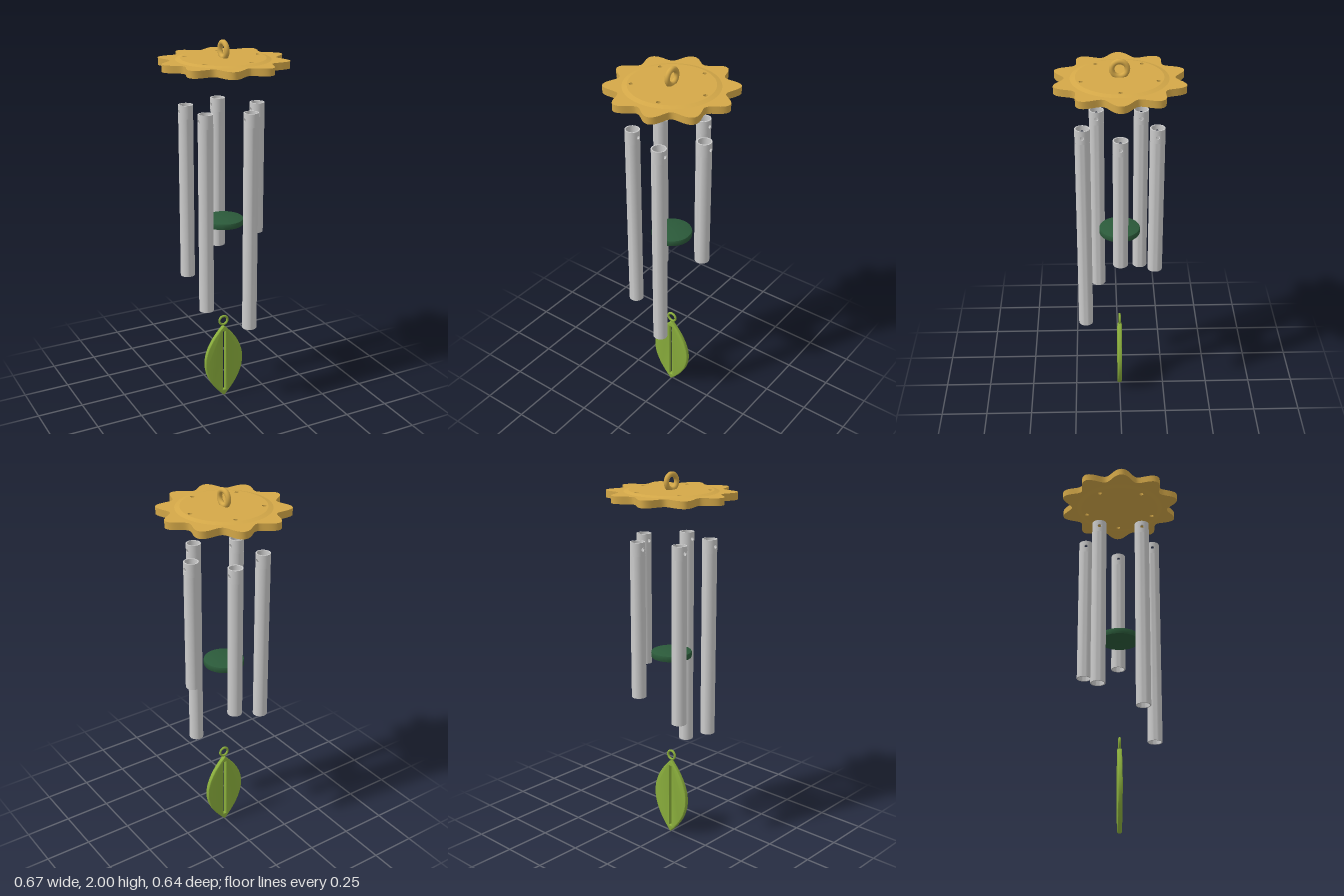
import * as THREE from 'three';
import { toCreasedNormals } from 'three/addons/utils/BufferGeometryUtils.js';
import { ParametricGeometry } from 'three/addons/geometries/ParametricGeometry.js';

const paint = (color, side = THREE.FrontSide) => new THREE.MeshStandardMaterial({ color, side });
const GOLD = paint(0xd4a848);
const METAL = paint(0xcccccc, THREE.DoubleSide);
const DARK_GREEN = paint(0x2b5a3a);
const LEAF_GREEN = paint(0x8aae3c);

const R_OUT = 0.0385, R_IN = 0.032, TUBE_TOP = 1.665, BAND = 0.035, HOLE = 0.01;
const TUBE_RING = 0.195;

function add(parent, name, geometry, material, x = 0, y = 0, z = 0) {
  const mesh = new THREE.Mesh(geometry, material);
  mesh.name = name;
  mesh.position.set(x, y, z);
  parent.add(mesh);
  return mesh;
}

const crease = (geometry, angle = 0.6) => toCreasedNormals(geometry, angle);
const lathe = (points, segments) =>
  crease(new THREE.LatheGeometry(points.map(([r, y]) => new THREE.Vector2(r, y)), segments));

function circlePath(x, y, r) {
  return new THREE.Path().absarc(x, y, r, 0, Math.PI * 2, true);
}

// horizontal slab standing on y = 0
function slab(shape, depth) {
  const g = new THREE.ExtrudeGeometry(shape, { depth, bevelEnabled: false, curveSegments: 48 });
  return crease(g.rotateX(-Math.PI / 2));
}

// half of a cylinder wall with a round hole in its middle
function drilledHalf(radius, turn) {
  return new ParametricGeometry((u, v, p) => {
    const a = turn * u * Math.PI * 2, c = Math.cos(a), s = Math.sin(a);
    const m = Math.max(Math.abs(c), Math.abs(s));
    const phi = THREE.MathUtils.lerp(c * HOLE / R_OUT, c / m * Math.PI / 2, v);
    const y = THREE.MathUtils.lerp(s * HOLE, s / m * BAND, v);
    p.set(radius * Math.cos(phi), y, -radius * Math.sin(phi));
  }, 48, 8);
}

// wall of the drilled hole, from outer to inner skin
function holeWall() {
  return new ParametricGeometry((u, v, p) => {
    const a = u * Math.PI * 2, phi = Math.cos(a) * HOLE / R_OUT;
    const r = THREE.MathUtils.lerp(R_OUT, R_IN, v);
    p.set(r * Math.cos(phi), Math.sin(a) * HOLE, -r * Math.sin(phi));
  }, 24, 1);
}

function chimeTube(bottom) {
  const tube = new THREE.Group();
  tube.name = 'chimeTube';
  const low = TUBE_TOP - 2 * BAND;
  add(tube, 'tubeWall', lathe([[R_IN, low], [R_IN, bottom], [R_OUT, bottom], [R_OUT, low]], 32), METAL);
  for (const turn of [0, Math.PI]) {
    const parts = [drilledHalf(R_OUT, -1), drilledHalf(R_IN, 1), holeWall()];
    for (const g of parts) add(tube, 'drilledBand', g, METAL, 0, TUBE_TOP - BAND).rotation.y = turn;
  }
  add(tube, 'tubeRim', new THREE.RingGeometry(R_IN, R_OUT, 32).rotateX(-Math.PI / 2), METAL, 0, TUBE_TOP);
  return tube;
}

function topPlate() {
  const plate = new THREE.Group();
  plate.name = 'topPlate';

  // ten-petal rim
  const outline = [];
  for (let i = 0; i < 200; i++) {
    const a = i / 200 * Math.PI * 2, r = 0.301 + 0.032 * Math.cos(10 * a);
    outline.push(new THREE.Vector2(r * Math.cos(a), r * Math.sin(a)));
  }
  const flower = new THREE.Shape(outline);
  flower.holes.push(circlePath(0, 0, 0.21));
  add(plate, 'petalRim', slab(flower, 0.037), GOLD, 0, 1.867, 0);

  // slightly thicker middle with string holes
  const middle = new THREE.Shape().absarc(0, 0, 0.215, 0, Math.PI * 2, false);
  for (let i = 0; i < 5; i++) {
    const a = i * Math.PI * 0.4;
    middle.holes.push(circlePath(TUBE_RING * Math.cos(a), TUBE_RING * Math.sin(a), 0.011));
  }
  add(plate, 'plateMiddle', slab(middle, 0.05), GOLD, 0, 1.861, 0);
  add(plate, 'upperSlope', lathe([[0.24, 1.904], [0.215, 1.911]], 96), GOLD);
  add(plate, 'lowerSlope', lathe([[0.215, 1.861], [0.24, 1.867]], 96), GOLD);

  // hanging ring
  const ring = new THREE.TorusGeometry(0.0375, 0.0135, 16, 48).rotateY(Math.PI / 2);
  add(plate, 'hangingRing', ring, GOLD, 0, 1.949, 0);
  return plate;
}

function leafSail() {
  const sail = new THREE.Group();
  sail.name = 'leafSail';
  const shape = new THREE.Shape();
  shape.moveTo(0, 0.002);
  shape.quadraticCurveTo(0.228, 0.22, 0, 0.436);
  shape.quadraticCurveTo(-0.228, 0.22, 0, 0.002);

  // slit along the midrib
  const slit = new THREE.Path();
  slit.moveTo(-0.008, 0.04);
  slit.lineTo(-0.008, 0.4);
  slit.lineTo(0.008, 0.4);
  slit.lineTo(0.008, 0.04);
  slit.closePath();
  shape.holes.push(slit);

  const leaf = new THREE.ExtrudeGeometry(shape, {
    depth: 0.014, bevelThickness: 0.005, bevelSize: 0.005, bevelOffset: -0.005,
    bevelSegments: 3, curveSegments: 32,
  });
  add(sail, 'leaf', crease(leaf), LEAF_GREEN, 0, 0, -0.007);
  add(sail, 'leafRing', new THREE.TorusGeometry(0.0245, 0.0065, 12, 32), LEAF_GREEN, 0, 0.465, 0);
  return sail;
}

export function createModel() {
  const model = new THREE.Group();
  model.name = 'windChime';
  model.add(topPlate());

  // five tubes, each longer than the last
  const bottoms = [0.957, 0.842, 0.726, 0.61, 0.493];
  bottoms.forEach((bottom, i) => {
    const a = i * Math.PI * 0.4;
    // neighbouring heights run round the circle in the order of the angles below
    const turn = [0, 4, 3, 2, 1][i] * Math.PI * 0.4;
    const tube = chimeTube(bottom);
    tube.position.set(TUBE_RING * Math.cos(a), 0, TUBE_RING * Math.sin(turn));
    model.add(tube);
  });

  // striker disc with softened edges
  const striker = [[0, 1.031], [0.1, 1.031], [0.105, 1.033], [0.107, 1.038],
    [0.107, 1.058], [0.105, 1.063], [0.1, 1.065], [0, 1.065]];
  add(model, 'striker', lathe(striker, 64), DARK_GREEN);

  model.add(leafSail());
  return model;
}
